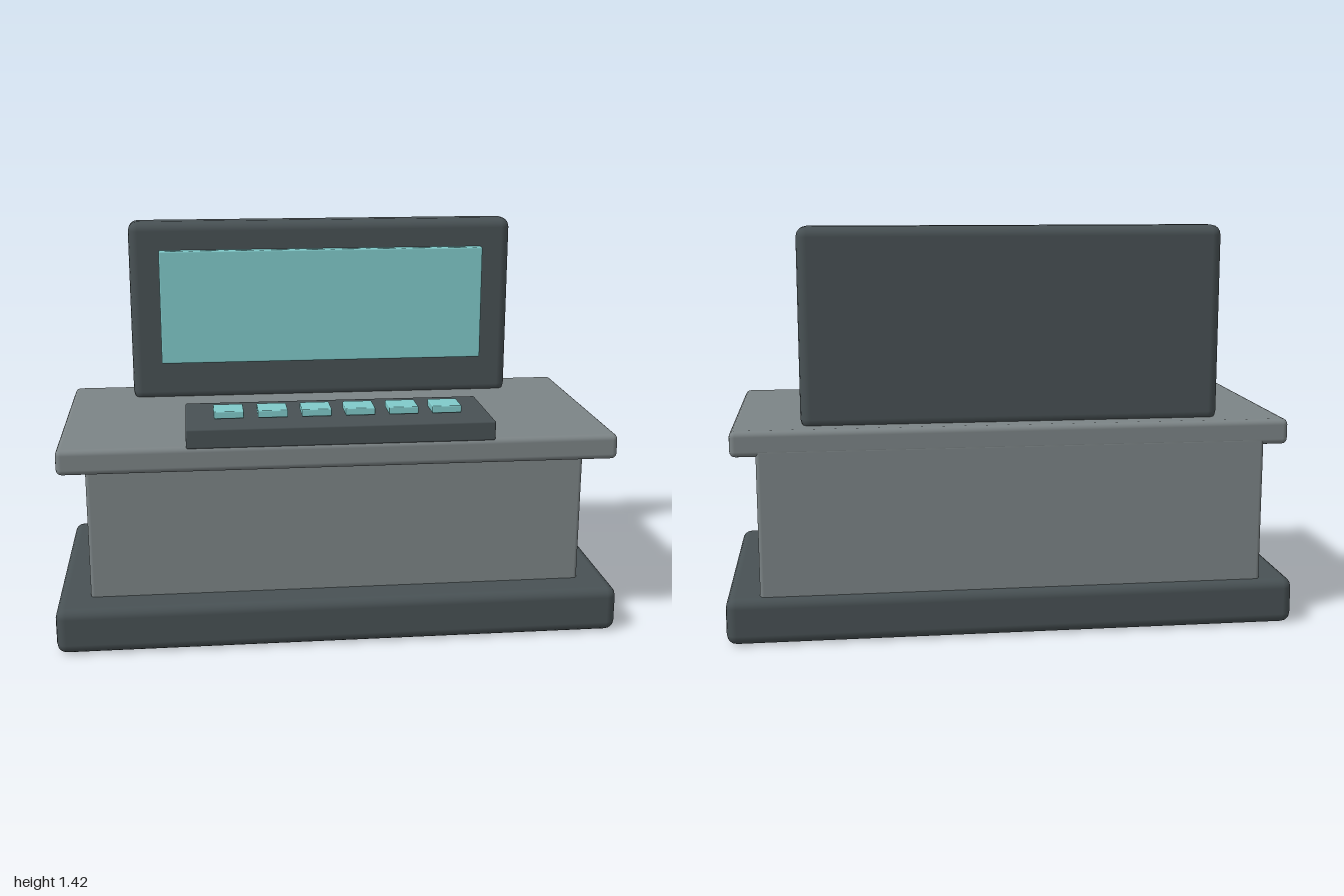
import * as THREE from 'three';
import { RoundedBoxGeometry } from 'three/addons/geometries/RoundedBoxGeometry.js';

const material = (name, color) => {
  const m = new THREE.MeshStandardMaterial({ color });
  m.name = name;
  return m;
};

export function createModel() {
  const group = new THREE.Group();
  group.name = 'controlDesk';
  const dark = material('dark slate', 0x485154);
  const grey = material('mid grey', 0x7c8486);
  const teal = material('pale teal', 0x80caca);

  // Bevelled block given by its extents on each axis
  function block(name, mat, [x0, x1], [y0, y1], [z0, z1], bevel) {
    const geometry = new RoundedBoxGeometry(x1 - x0, y1 - y0, z1 - z0, 2, bevel);
    const mesh = new THREE.Mesh(geometry, mat);
    mesh.name = name;
    mesh.position.set((x0 + x1) / 2, (y0 + y1) / 2, (z0 + z1) / 2);
    group.add(mesh);
  }

  // Desk
  block('plinth', dark, [-1, 1], [0, 0.165], [-0.467, 0.467], 0.035);
  block('cabinet', grey, [-0.883, 0.883], [0.14, 0.68], [-0.44, 0.348], 0.014);
  block('desktop', grey, [-0.97, 0.97], [0.652, 0.742], [-0.44, 0.467], 0.02);

  // Monitor
  block('monitorCase', dark, [-0.733, 0.733], [0.728, 1.418], [-0.367, -0.243], 0.035);
  block('screen', teal, [-0.62, 0.62], [0.88, 1.312], [-0.25, -0.213], 0.006);

  // Control panel with a row of keys
  block('controlPanel', dark, [-0.532, 0.532], [0.735, 0.803], [0.103, 0.467], 0.006);
  for (let i = 0; i < 6; i++) {
    const x = (i - 2.5) * 0.153;
    block('key' + (i + 1), teal, [x - 0.052, x + 0.052], [0.806, 0.832], [0.243, 0.348], 0.004);
  }
  return group;
}
